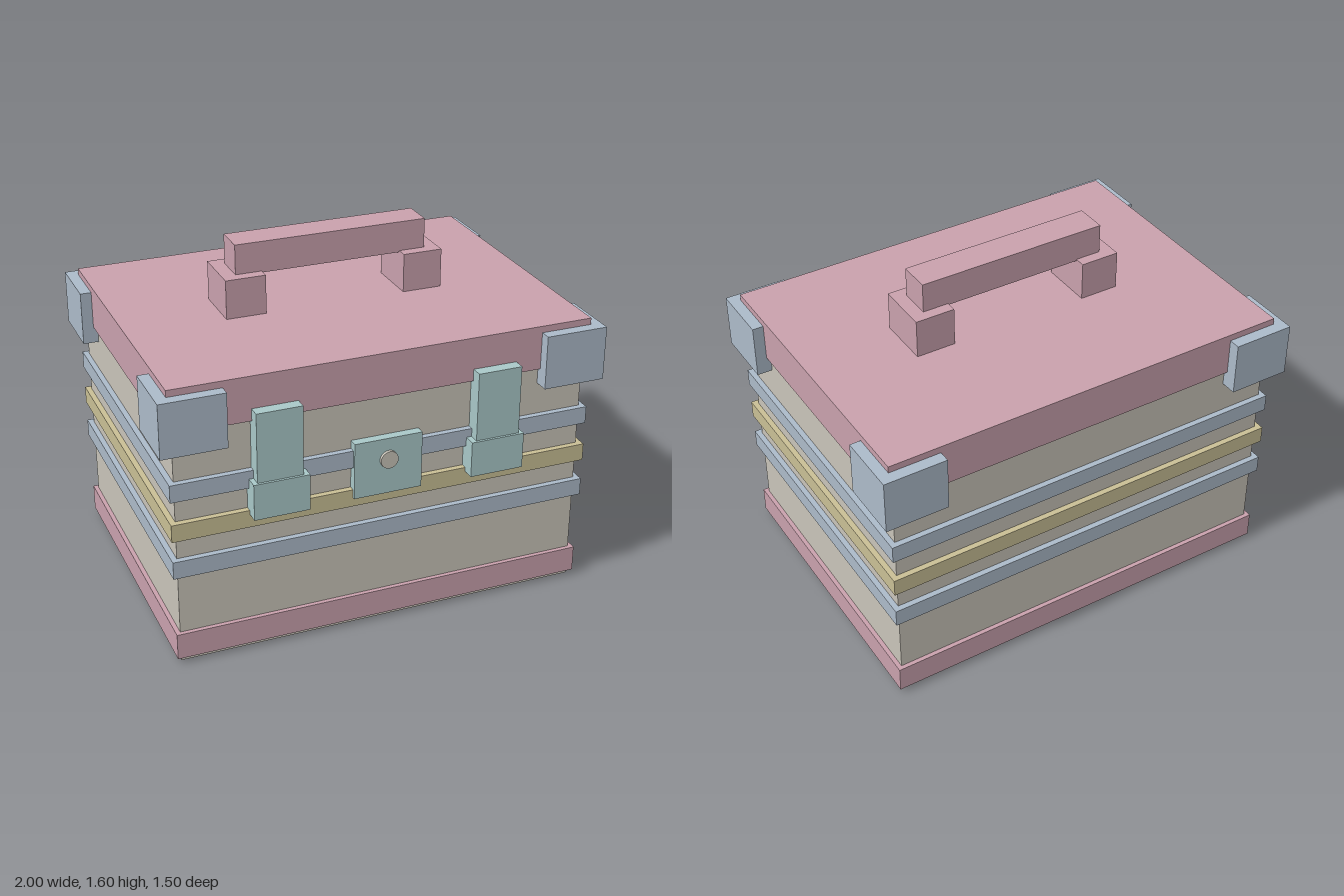
import * as THREE from 'three';

const mat = (name, color) => {
  const m = new THREE.MeshStandardMaterial({ color });
  m.name = name;
  return m;
};

export function createModel() {
  const cream = mat('cream', 0xc9c4b9);
  const pink = mat('pink', 0xc9a1ad);
  const blue = mat('blue', 0xacbac9);
  const yellow = mat('yellow', 0xc9bf95);
  const teal = mat('teal', 0xa9c8c8);

  const model = new THREE.Group();
  model.name = 'toolbox';

  // Box given by its limits on each axis
  const box = (name, material, [x0, x1], [y0, y1], [z0, z1]) => {
    const mesh = new THREE.Mesh(new THREE.BoxGeometry(x1 - x0, y1 - y0, z1 - z0), material);
    mesh.position.set((x0 + x1) / 2, (y0 + y1) / 2, (z0 + z1) / 2);
    mesh.name = name;
    model.add(mesh);
  };
  // Limits along x, mirrored for the right side
  const side = (s, a, b) => (s > 0 ? [a, b] : [-b, -a]);

  // Case with base trim and lid
  box('body', cream, [-0.93, 0.93], [0.002, 1.12], [-0.675, 0.665]);
  box('baseTrim', pink, [-0.95, 0.95], [0.025, 0.145], [-0.695, 0.685]);
  box('lid', pink, [-0.95, 0.95], [1.09, 1.29], [-0.695, 0.685]);

  // Bands around the case
  [[0.427, blue], [0.603, yellow], [0.788, blue]].forEach(([y, m]) =>
    box('band', m, [-0.955, 0.955], [y, y + 0.08], [-0.701, 0.692]));

  for (const s of [1, -1]) {
    const name = s > 0 ? 'left' : 'right';

    // Corner guards
    box(name + 'FrontCorner', blue, side(s, 0.715, 1), [1.015, 1.26], [0.45, 0.735]);
    box(name + 'BackCorner', blue, side(s, 0.715, 1), [1.015, 1.26], [-0.748, -0.463]);

    // Latch: hasp above, catch below
    box(name + 'LatchHasp', teal, side(s, 0.395, 0.597), [0.82, 1.145], [0.655, 0.738]);
    box(name + 'LatchCatch', teal, side(s, 0.37, 0.617), [0.665, 0.83], [0.655, 0.749]);

    // Handle post
    box(name + 'HandlePost', pink, side(s, 0.323, 0.505), [1.28, 1.467], [-0.13, 0.117]);

    // Flush feet
    box(name + 'FrontFoot', pink, side(s, 0.55, 0.83), [0, 0.02], [0.46, 0.605]);
    box(name + 'BackFoot', pink, side(s, 0.55, 0.83), [0, 0.02], [-0.615, -0.47]);
  }

  // Handle grip
  box('handleGrip', pink, [-0.443, 0.443], [1.46, 1.602], [-0.08, 0.066]);

  // Lock plate with a round keyhole stud
  box('lockPlate', teal, [-0.155, 0.155], [0.645, 0.905], [0.655, 0.706]);
  const stud = new THREE.Mesh(new THREE.CylinderGeometry(0.04, 0.04, 0.04, 20), cream);
  stud.rotation.x = Math.PI / 2;
  stud.position.set(0, 0.808, 0.7);
  stud.name = 'lockStud';
  model.add(stud);

  return model;
}
